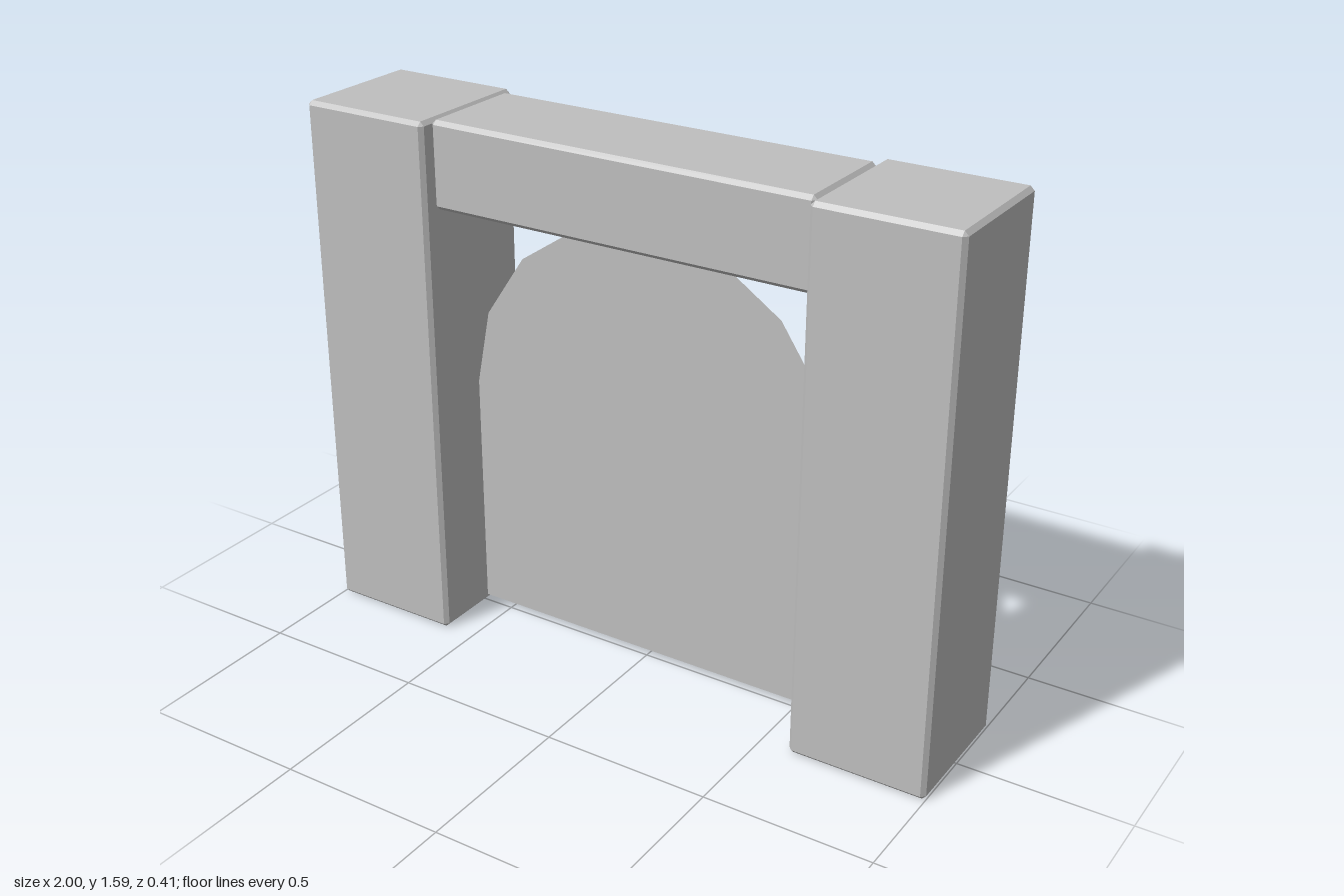
import * as THREE from 'three';
import { ConvexGeometry } from 'three/addons/geometries/ConvexGeometry.js';

const BEVEL = 0.012;

// Box with chamfered edges: the hull of its six inset faces
function chamferBox(w, h, d) {
  const half = [w / 2, h / 2, d / 2];
  const points = [];
  for (let axis = 0; axis < 3; axis++) {
    for (const sx of [-1, 1]) for (const sy of [-1, 1]) for (const sz of [-1, 1]) {
      const signs = [sx, sy, sz];
      const p = half.map((v, i) => signs[i] * (i === axis ? v : v - BEVEL));
      points.push(new THREE.Vector3(...p));
    }
  }
  return new ConvexGeometry(points);
}

export function createModel() {
  const model = new THREE.Group();
  model.name = 'archway';
  const stone = new THREE.MeshStandardMaterial({ color: 0xbfbfbf });
  stone.name = 'grey stone';
  stone.side = THREE.DoubleSide;

  const add = (name, geometry, x, y, z) => {
    const mesh = new THREE.Mesh(geometry, stone);
    mesh.name = name;
    mesh.position.set(x, y, z);
    model.add(mesh);
  };

  // Pillars
  const pillar = chamferBox(0.41, 1.585, 0.41);
  add('leftPillar', pillar, 0.795, 0.7925, 0);
  add('rightPillar', pillar, -0.795, 0.7925, 0);

  // Lintel between the pillars
  add('lintel', chamferBox(1.18, 0.255, 0.335), 0, 1.4575, 0);

  // Flat arched panel, its top a half circle in eight steps
  const radius = 0.59, spring = 0.75;
  const outline = [new THREE.Vector2(-radius, 0.02), new THREE.Vector2(radius, 0.02)];
  for (let i = 0; i <= 8; i++) {
    const a = (i / 8) * Math.PI;
    outline.push(new THREE.Vector2(radius * Math.cos(a), spring + radius * Math.sin(a)));
  }
  add('archPanel', new THREE.ShapeGeometry(new THREE.Shape(outline)), 0, 0, 0);

  return model;
}
